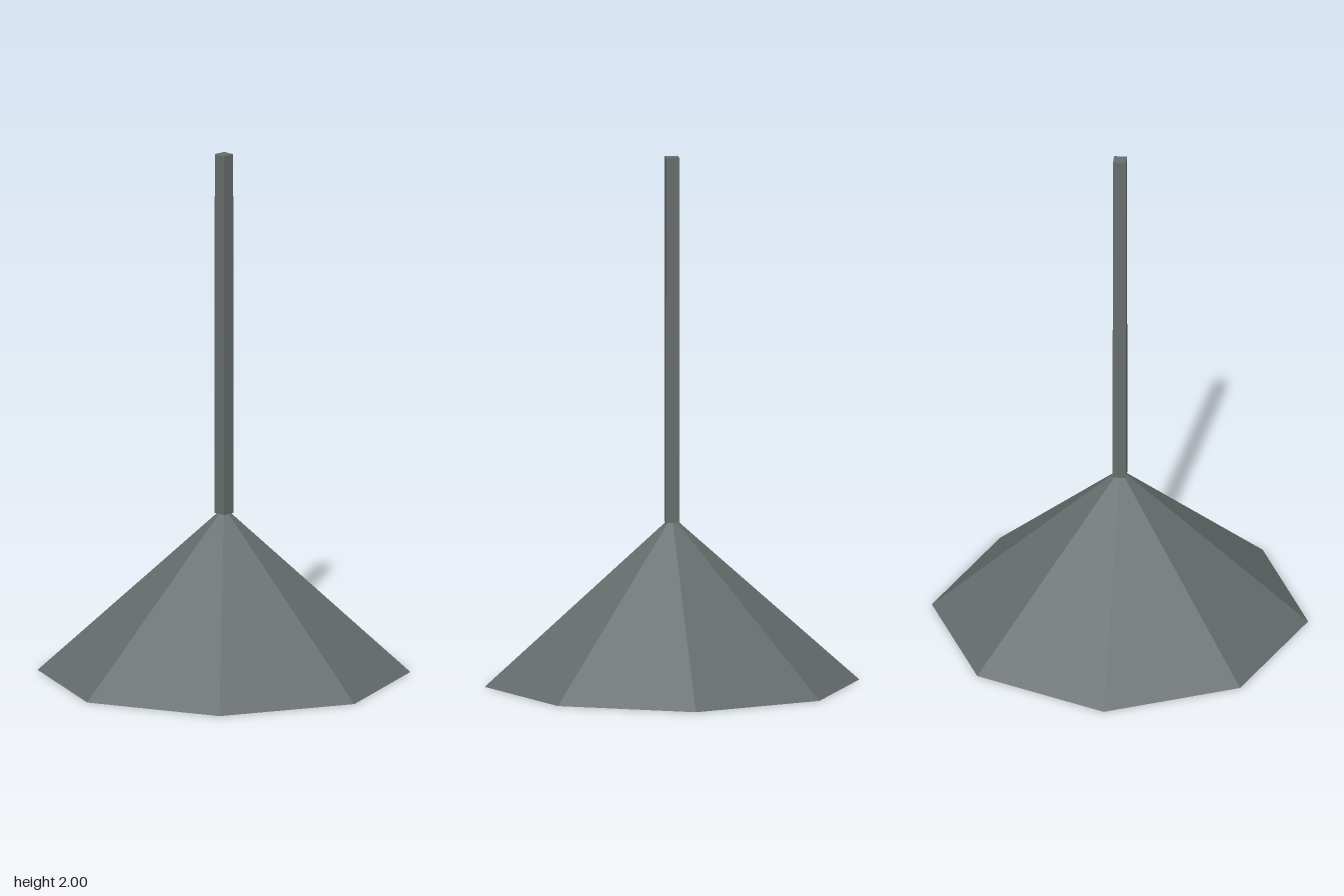
import * as THREE from 'three';

// Rim corners: eight of them, those on the diagonals slightly closer in
function rimPoint(step) {
  const a = step * Math.PI / 4;
  const r = step % 2 ? 0.7 : 0.709;
  return new THREE.Vector3(r * Math.cos(a), 0, r * Math.sin(a));
}

// Triangles or quads (folded ones too), each shaded as a single facet
function facets(polygons) {
  const positions = [], normals = [], indices = [];
  for (const poly of polygons) {
    const k = positions.length / 3;
    const last = poly[3] ?? poly[0];
    const normal = poly[2].clone().sub(poly[0]).cross(last.clone().sub(poly[1])).normalize();
    poly.forEach((p, i) => {
      positions.push(...p.toArray());
      normals.push(...normal.toArray());
      if (i > 1) indices.push(k, k + i - 1, k + i);
    });
  }
  const geometry = new THREE.BufferGeometry();
  geometry.setAttribute('position', new THREE.Float32BufferAttribute(positions, 3));
  geometry.setAttribute('normal', new THREE.Float32BufferAttribute(normals, 3));
  geometry.setIndex(indices);
  return geometry;
}

export function createModel() {
  const group = new THREE.Group();
  const add = (name, geometry, material, y) => {
    const mesh = new THREE.Mesh(geometry, material);
    mesh.name = name;
    mesh.position.y = y;
    group.add(mesh);
  };

  const metal = new THREE.MeshStandardMaterial({ color: 0x656d6c });
  const glow = new THREE.MeshStandardMaterial({ color: 0xe0d208, flatShading: true });

  // Eight-sided outer shade, its tip hidden inside the rod
  const tip = new THREE.Vector3(0, 0.635, 0);
  const outer = [];
  for (let i = 0; i < 8; i++) outer.push([rimPoint(i + 1), rimPoint(i), tip]);
  add('shade', facets(outer), metal, 0);

  // Shallow lining of four folded panels, its tip hidden inside the bulb
  const innerTip = new THREE.Vector3(0, 0.32, 0);
  const inner = [];
  for (let i = 0; i < 8; i += 2) inner.push([rimPoint(i), rimPoint(i + 1), rimPoint(i + 2), innerTip]);
  add('shadeLining', facets(inner), metal, 0);

  // Square hanging rod, very slightly tapered
  const rodBottom = 0.612;
  const rod = new THREE.CylinderGeometry(0.0345, 0.0365, 2 - rodBottom, 4).toNonIndexed();
  rod.rotateY(Math.PI / 4).computeVertexNormals();
  add('rod', rod, metal, (2 + rodBottom) / 2);

  // Faceted bulb set into the lining
  add('bulb', new THREE.SphereGeometry(0.17, 8, 16), glow, 0.206);

  return group;
}
